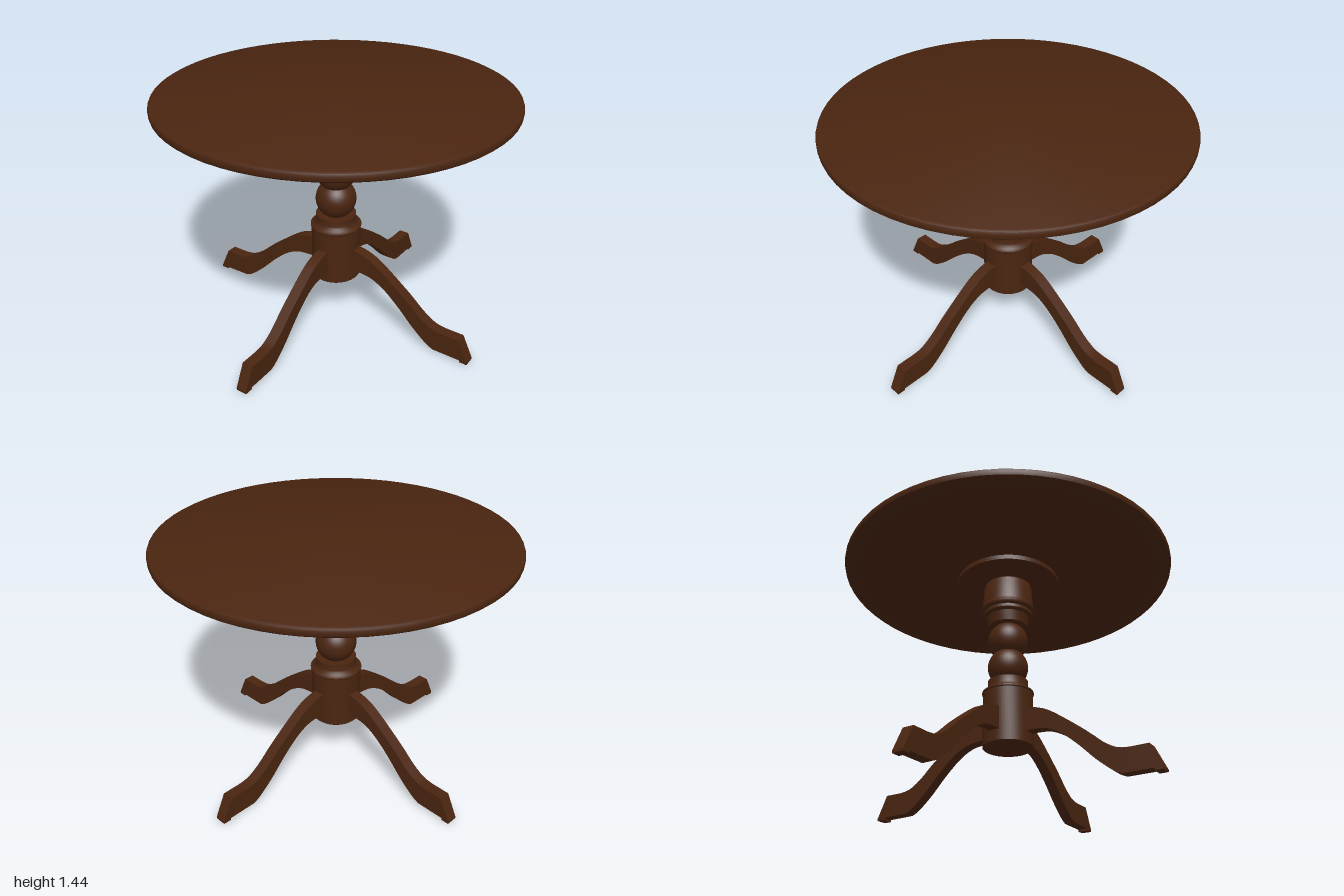
import * as THREE from 'three';
import { toCreasedNormals } from 'three/addons/utils/BufferGeometryUtils.js';

const wood = new THREE.MeshStandardMaterial({ color: 0x4a2510 });
wood.name = 'dark wood';

function part(name, geometry, crease = 0.6) {
  const mesh = new THREE.Mesh(toCreasedNormals(geometry, crease), wood);
  mesh.name = name;
  return mesh;
}

// Turned part from [radius, height] pairs, bottom to top
function turned(name, profile, segments = 48) {
  const points = profile.map(([r, y]) => new THREE.Vector2(r, y));
  return part(name, new THREE.LatheGeometry(points, segments));
}

export function createModel() {
  const table = new THREE.Group();
  table.name = 'pedestalTable';

  // Round top with softened rim, and the mounting plate under it
  table.add(turned('tableTop', [
    [0, 1.383], [0.965, 1.383], [0.986, 1.387], [0.997, 1.397], [1, 1.41],
    [1, 1.424], [0.996, 1.434], [0.985, 1.44], [0, 1.44],
  ], 64));
  table.add(turned('mountingPlate', [[0, 1.355], [0.31, 1.355], [0.31, 1.385], [0, 1.385]]));

  // Column: base drum, collar, two beads and the upper cup
  table.add(turned('columnBase', [
    [0, 0.29], [0.139, 0.29], [0.145, 0.296], [0.145, 0.615], [0.15, 0.62], [0.15, 0.628],
    [0.132, 0.636], [0.121, 0.65], [0.118, 0.66], [0.118, 0.698], [0, 0.698],
  ]));
  for (const [name, y] of [['lowerBead', 0.793], ['upperBead', 0.968]]) {
    const bead = part(name, new THREE.SphereGeometry(0.119, 40, 24));
    bead.position.y = y;
    table.add(bead);
  }
  table.add(turned('columnCup', [
    [0, 1.06], [0.118, 1.06], [0.128, 1.122], [0.145, 1.125], [0.15, 1.132], [0.15, 1.145],
    [0.145, 1.155], [0.16, 1.16], [0.165, 1.168], [0.165, 1.178], [0.157, 1.187],
    [0.154, 1.2], [0.144, 1.335], [0.138, 1.345], [0.1, 1.347], [0.1, 1.357], [0, 1.357],
  ]));

  // Leg silhouette: x is distance from the axis
  const width = 0.066;
  const shape = new THREE.Shape();
  shape.moveTo(0.1, 0.36);
  shape.lineTo(0.1, 0.5);
  shape.lineTo(0.14, 0.498);
  shape.splineThru([[0.22, 0.48], [0.31, 0.435], [0.49, 0.3], [0.6, 0.205], [0.68, 0.157], [0.75, 0.145]]
    .map(([x, y]) => new THREE.Vector2(x, y)));
  shape.lineTo(0.855, 0.145);
  shape.lineTo(0.918, 0.012);
  shape.lineTo(0.7, 0.014);
  shape.splineThru([[0.65, 0.04], [0.56, 0.115], [0.46, 0.215], [0.36, 0.3], [0.27, 0.347], [0.18, 0.36]]
    .map(([x, y]) => new THREE.Vector2(x, y)));
  shape.closePath();
  const legGeometry = new THREE.ExtrudeGeometry(shape, { depth: width, bevelEnabled: false, curveSegments: 5 });
  legGeometry.translate(0, 0, -width / 2);

  // Four legs, each with a thin floor pad at the toe
  for (let i = 0; i < 4; i++) {
    const leg = new THREE.Group();
    leg.name = `leg${i + 1}`;
    const pad = part('floorPad', new THREE.BoxGeometry(0.048, 0.014, width));
    pad.position.set(0.894, 0.007, 0);
    leg.add(part('curvedLeg', legGeometry), pad);
    leg.rotation.y = -THREE.MathUtils.degToRad(53 + 90 * i);
    table.add(leg);
  }
  return table;
}
